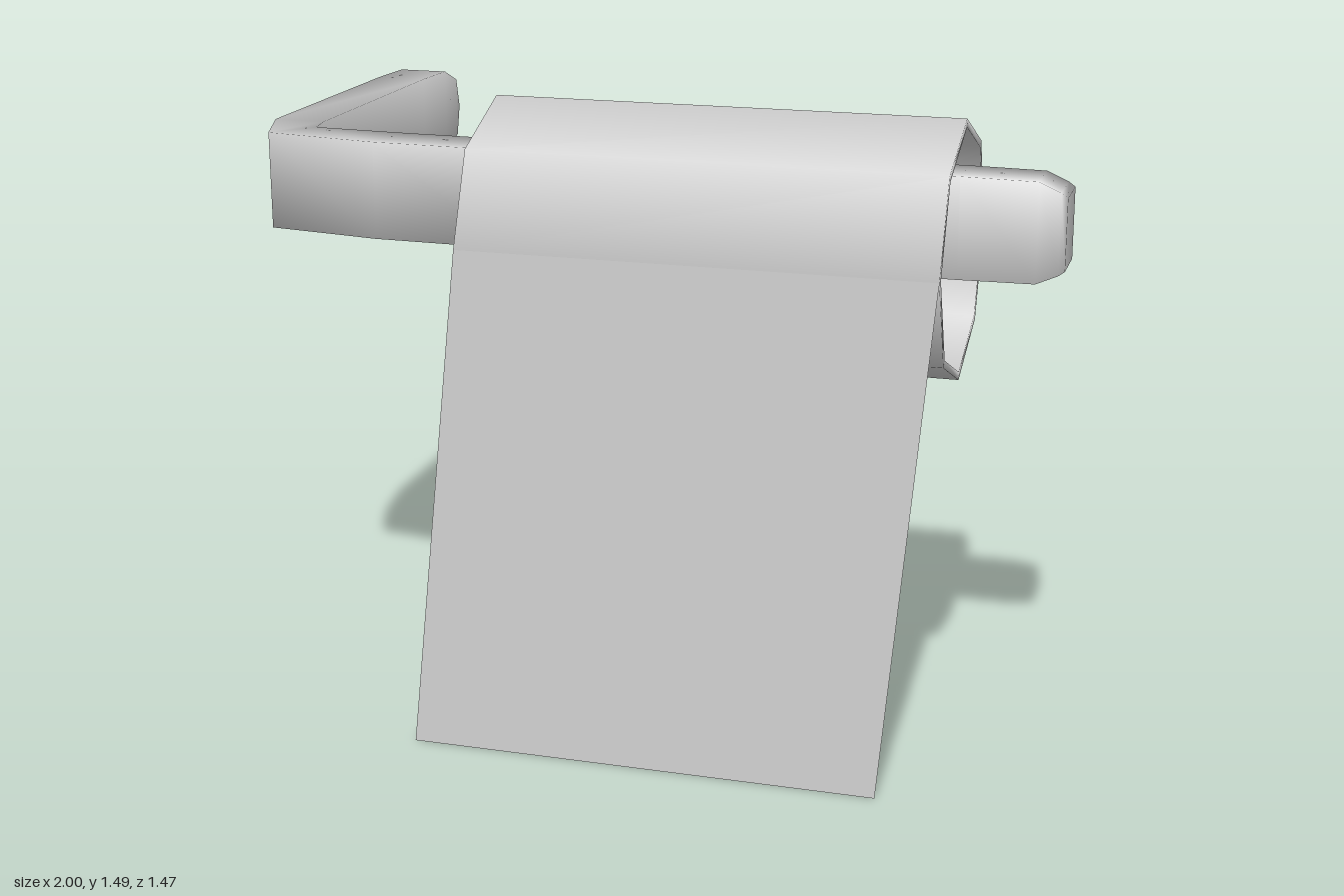
import * as THREE from 'three';

const material = new THREE.MeshStandardMaterial({ color: 0xcccccc, side: THREE.DoubleSide });

function addMesh(group, name, geometry) {
  const mesh = new THREE.Mesh(geometry, material);
  mesh.name = name;
  group.add(mesh);
  return mesh;
}

// Flat bar swept through stations: [outer x, outer z, inner x, inner z, half height]
function barGeometry(stations, yMid) {
  const positions = [];
  const index = [];
  for (const [ox, oz, ix, iz, h] of stations) {
    positions.push(ox, yMid + h, oz, ix, yMid + h, iz, ix, yMid - h, iz, ox, yMid - h, oz);
  }
  for (let i = 0; i < stations.length - 1; i++) {
    for (let j = 0; j < 4; j++) {
      const a = i * 4 + j;
      const b = i * 4 + (j + 1) % 4;
      index.push(a, a + 4, b, b, a + 4, b + 4);
    }
  }
  // End caps
  const e = (stations.length - 1) * 4;
  index.push(0, 1, 2, 0, 2, 3, e, e + 2, e + 1, e, e + 3, e + 2);
  const geometry = new THREE.BufferGeometry();
  geometry.setAttribute('position', new THREE.Float32BufferAttribute(positions, 3));
  geometry.setIndex(index);
  geometry.computeVertexNormals();
  return geometry;
}

export function createModel() {
  const group = new THREE.Group();
  group.name = 'paperHolder';

  // Bent holder arm, from the wall end round the corner to the free tip
  addMesh(group, 'holderArm', barGeometry([
    [-1, -0.735, -0.87, -0.735, 0],
    [-1, -0.715, -0.87, -0.715, 0.078],
    [-1, -0.63, -0.87, -0.63, 0.114],
    [-1, -0.47, -0.87, -0.47, 0.118],
    [-1, 0.19, -0.87, 0.19, 0.118],
    [-0.94, 0.358, -0.857, 0.262, 0.118],
    [-0.65, 0.402, -0.62, 0.274, 0.118],
    [-0.3, 0.41, -0.3, 0.281, 0.118],
    [0.76, 0.415, 0.76, 0.287, 0.118],
    [0.935, 0.416, 0.935, 0.288, 0.116],
    [0.985, 0.416, 0.985, 0.288, 0.094],
    [1, 0.416, 1, 0.288, 0.083],
  ], 1.259));

  // Hollow eight-sided roll lying along x
  const x0 = -0.355, x1 = 0.76, outer = 0.304, inner = 0.285;
  const profile = [[inner, 0.2], [inner, x0], [outer, x0], [outer, x1], [inner, x1], [inner, 0.2]]
    .map(([r, x]) => new THREE.Vector2(r, x));
  const roll = new THREE.LatheGeometry(profile, 8);
  roll.rotateZ(-Math.PI / 2);
  addMesh(group, 'paperRoll', roll).position.set(0, 1.19, 0.343);

  // Hanging sheet, drifting sideways and forwards towards its lower edge
  const sheet = new THREE.PlaneGeometry(x1 - x0, 1.19);
  sheet.translate((x0 + x1) / 2, 0.595, 0.647);
  const p = sheet.attributes.position;
  for (let i = 0; i < p.count; i++) {
    const drop = 1 - p.getY(i) / 1.19;
    p.setX(i, p.getX(i) - 0.097 * drop);
    p.setZ(i, p.getZ(i) + 0.085 * drop);
  }
  sheet.computeVertexNormals();
  addMesh(group, 'hangingSheet', sheet);

  return group;
}
